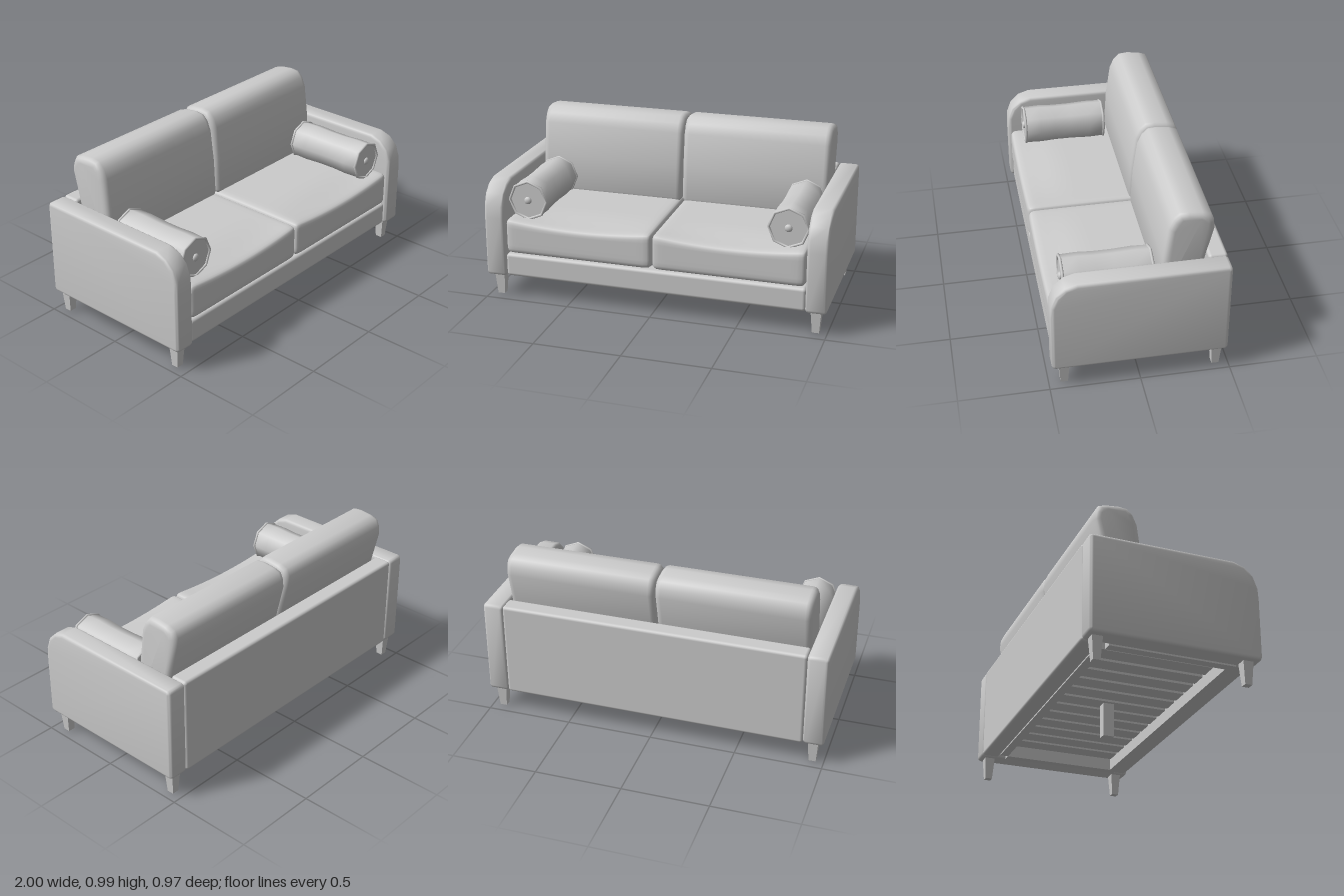
import * as THREE from 'three';
import { mergeVertices, toCreasedNormals } from 'three/addons/utils/BufferGeometryUtils.js';
import { RoundedBoxGeometry } from 'three/addons/geometries/RoundedBoxGeometry.js';

const material = new THREE.MeshStandardMaterial({ color: 0xcccccc });

function add(parent, name, geometry, x = 0, y = 0, z = 0) {
  const mesh = new THREE.Mesh(geometry, material);
  mesh.name = name;
  mesh.position.set(x, y, z);
  parent.add(mesh);
  return mesh;
}

// Box given by its limits on each axis, with optional rounded edges
function addBox(parent, name, [x0, x1], [y0, y1], [z0, z1], r = 0) {
  const size = [x1 - x0, y1 - y0, z1 - z0];
  const geometry = r ? new RoundedBoxGeometry(...size, 3, r) : new THREE.BoxGeometry(...size);
  return add(parent, name, geometry, (x0 + x1) / 2, (y0 + y1) / 2, (z0 + z1) / 2);
}

// Side profile of [z, y] points, swept from x0 to x1 with rounded edges
function sideExtrude(points, x0, x1, bevel) {
  const shape = new THREE.Shape(points.map(([z, y]) => new THREE.Vector2(-z, y)));
  const geometry = new THREE.ExtrudeGeometry(shape, {
    depth: x1 - x0 - 2 * bevel, bevelThickness: bevel, bevelSize: bevel,
    bevelOffset: -bevel, bevelSegments: 4,
  });
  geometry.rotateY(Math.PI / 2).translate(x0 + bevel, 0, 0);
  return toCreasedNormals(geometry, 0.9);
}

// Soft seat cushion: rounded box whose front upper edge sags in the middle
function seatCushion(w, h, d, r) {
  let geometry = new THREE.BoxGeometry(2, 2, 2, 20, 12, 20);
  geometry.deleteAttribute('uv');
  geometry.deleteAttribute('normal');
  geometry = mergeVertices(geometry);
  const half = new THREE.Vector3(w / 2, h / 2, d / 2);
  const inner = half.clone().subScalar(r);
  const outer = inner.clone().negate();
  const pos = geometry.attributes.position;
  const p = new THREE.Vector3(), core = new THREE.Vector3();
  for (let i = 0; i < pos.count; i++) {
    p.fromBufferAttribute(pos, i);
    p.set(Math.sin(p.x * Math.PI / 2), Math.sin(p.y * Math.PI / 2), Math.sin(p.z * Math.PI / 2));
    p.multiply(half);
    core.copy(p).clamp(outer, inner);
    p.sub(core);
    if (p.lengthSq() > 0) p.setLength(r);
    p.add(core);
    const u = p.x / half.x;
    const front = THREE.MathUtils.smoothstep(p.z, 0.15, half.z);
    p.y -= 0.028 * (1 - u * u) * front * THREE.MathUtils.smoothstep(p.y, 0, half.y);
    pos.setXYZ(i, p.x, p.y, p.z);
  }
  geometry.computeVertexNormals();
  return geometry;
}

// Eight-sided bolster along z, softly sagging, with piped rims and end buttons
function bolster() {
  const group = new THREE.Group();
  const profile = [
    [0, -0.242], [0.113, -0.242], [0.116, -0.15], [0.111, -0.04], [0.111, 0.06],
    [0.116, 0.15], [0.113, 0.242], [0, 0.242],
  ].map(([r, y]) => new THREE.Vector2(r, y));
  const body = toCreasedNormals(new THREE.LatheGeometry(profile, 8), 0.85);
  add(group, 'bolsterBody', body.rotateX(Math.PI / 2));
  for (const s of [-1, 1]) {
    add(group, 'bolsterPiping', new THREE.TorusGeometry(0.112, 0.008, 8, 8), 0, 0, s * 0.242);
    const button = add(group, 'bolsterButton', new THREE.SphereGeometry(0.022, 12, 8), 0, 0, s * 0.244);
    button.scale.z = 0.6;
  }
  return group;
}

export function createModel() {
  const sofa = new THREE.Group();
  sofa.name = 'sofa';

  // Arm profile with a rounded upper front
  const armProfile = [
    [-0.485, 0.155], [-0.479, 0.14], [-0.465, 0.134], [0.465, 0.134], [0.479, 0.14], [0.485, 0.155],
    [0.485, 0.49], [0.481, 0.56], [0.455, 0.63], [0.405, 0.678], [0.34, 0.7],
    [-0.465, 0.7], [-0.479, 0.694], [-0.485, 0.68],
  ];
  const backProfile = [
    [-0.125, 0.5], [-0.136, 0.7], [-0.161, 0.89], [-0.185, 0.945], [-0.22, 0.98], [-0.27, 0.985],
    [-0.34, 0.977], [-0.385, 0.963], [-0.405, 0.92], [-0.41, 0.87], [-0.37, 0.7], [-0.33, 0.5],
    [-0.32, 0.475], [-0.135, 0.475],
  ];

  // Tapered square leg
  const leg = new THREE.CylinderGeometry(0.031 * Math.SQRT2, 0.02 * Math.SQRT2, 0.146, 4, 1);
  leg.rotateY(Math.PI / 4);
  const legGeometry = toCreasedNormals(leg, 0.5);

  for (const s of [-1, 1]) {
    const side = s > 0 ? 'left' : 'right';
    const span = (a, b) => (s > 0 ? [a, b] : [-b, -a]);
    add(sofa, side + 'Arm', sideExtrude(armProfile, ...span(0.88, 1), 0.02));
    add(sofa, side + 'BackCushion', sideExtrude(backProfile, ...span(0.001, 0.878), 0.035));
    add(sofa, side + 'SeatCushion', seatCushion(0.875, 0.212, 0.86, 0.035), s * 0.439, 0.383, 0.045);

    const pillow = bolster();
    pillow.name = side + 'Bolster';
    pillow.position.set(s * 0.76, 0.586, 0.153);
    sofa.add(pillow);

    add(sofa, side + 'FrontLeg', legGeometry, s * 0.936, 0.077, 0.415);
    add(sofa, side + 'BackLeg', legGeometry, s * 0.936, 0.077, -0.428);
    addBox(sofa, side + 'InnerRail', span(0.83, 0.882), [0.131, 0.23], [-0.335, 0.385]);
  }

  // Back panel, front rail and inner frame, whose underside sits just below the arms
  addBox(sofa, 'backPanel', [-0.882, 0.882], [0.134, 0.7], [-0.485, -0.38], 0.018);
  addBox(sofa, 'frontRail', [-0.882, 0.882], [0.134, 0.272], [0.375, 0.468], 0.02);
  addBox(sofa, 'frontInnerRail', [-0.83, 0.83], [0.131, 0.23], [0.345, 0.385]);
  addBox(sofa, 'backInnerRail', [-0.83, 0.83], [0.131, 0.23], [-0.385, -0.335]);

  // Slats running front to back under the cushions
  const slats = 13, pitch = 1.66 / slats;
  for (let i = 0; i < slats; i++) {
    const x = -0.83 + pitch * (i + 0.5);
    addBox(sofa, 'slat', [x - 0.05, x + 0.05], [0.2, 0.225], [-0.345, 0.355]);
  }

  // Centre support leg
  addBox(sofa, 'centreLeg', [-0.028, 0.028], [0, 0.22], [-0.032, 0.032]);
  return sofa;
}
